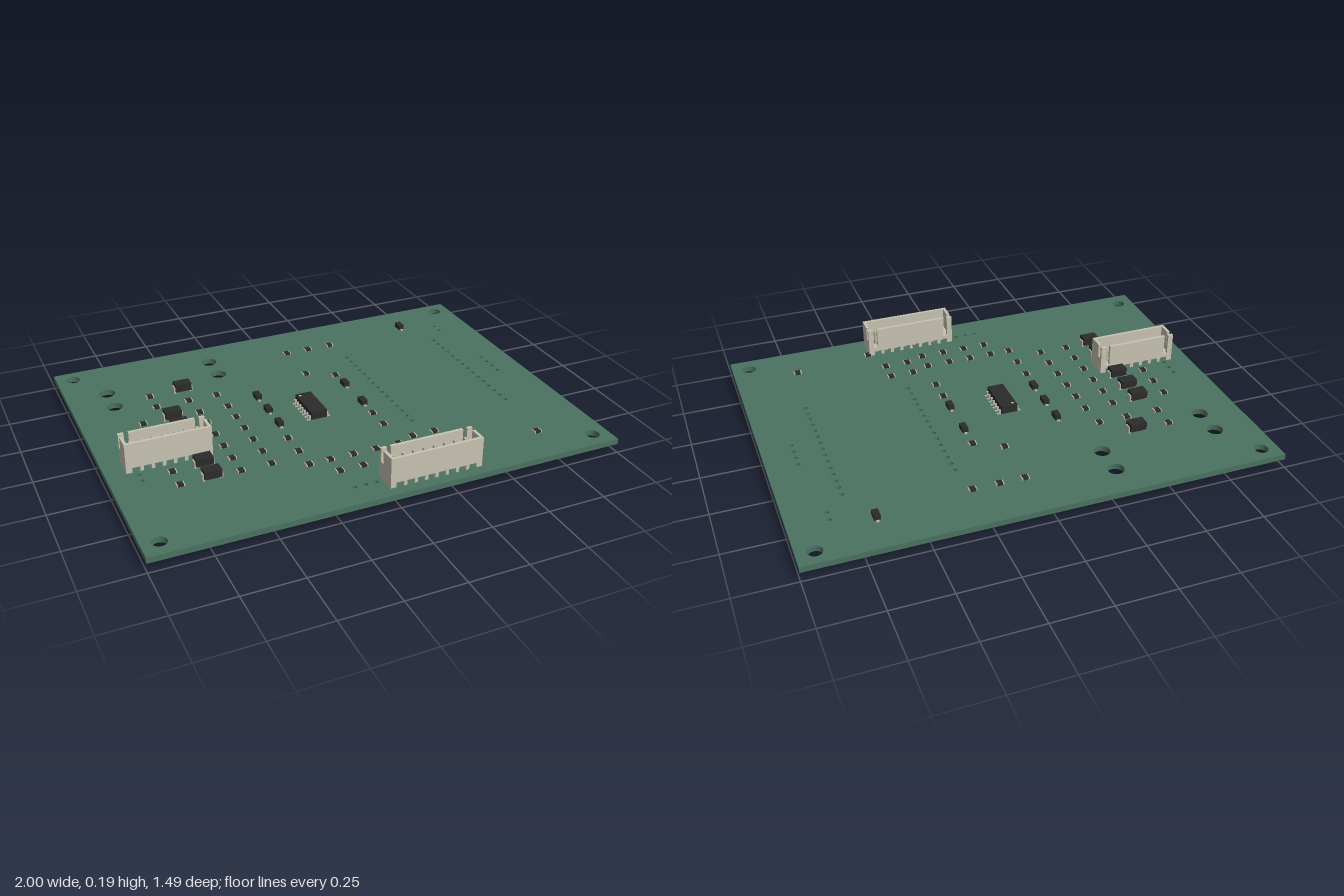
import * as THREE from 'three';

const mat = (name, color) => {
  const m = new THREE.MeshStandardMaterial({ color });
  m.name = name;
  return m;
};
const TOP = 0.062, BOTTOM = 0.037;

export function createModel() {
  const green = mat('board green', 0x4b7361);
  const beige = mat('connector beige', 0xc8c4b2);
  const black = mat('component black', 0x2b2b2b);
  const metal = mat('terminal metal', 0xbab5a8);
  const root = new THREE.Group();
  root.name = 'circuitBoard';

  const group = (name, x, z, parent = root) => {
    const g = new THREE.Group();
    g.name = name;
    g.position.set(x, 0, z);
    parent.add(g);
    return g;
  };
  // box given by its x, y and z ranges
  const box = (parent, name, m, x0, x1, y0, y1, z0, z1) => {
    const b = new THREE.Mesh(new THREE.BoxGeometry(x1 - x0, y1 - y0, z1 - z0), m);
    b.position.set((x0 + x1) / 2, (y0 + y1) / 2, (z0 + z1) / 2);
    b.name = name;
    parent.add(b);
    return b;
  };

  // board with drilled holes
  const shape = new THREE.Shape();
  shape.moveTo(-1, -0.745).lineTo(1, -0.745).lineTo(1, 0.745).lineTo(-1, 0.745).closePath();
  const hole = (x, z, r) => {
    const p = new THREE.Path();
    p.absarc(x, -z, r, 0, Math.PI * 2, true);
    shape.holes.push(p);
  };
  for (const x of [-0.928, 0.926]) for (const z of [-0.676, 0.67]) hole(x, z, 0.03);
  for (const [x, z] of [[-0.82, -0.488], [-0.82, -0.358], [-0.31, -0.598], [-0.31, -0.466]]) hole(x, z, 0.035);
  const holeRow = (x, z, dx, dz, n) => {
    for (let i = 0; i < n; i++) hole(x + dx * i, z + dz * i, 0.0095);
  };
  holeRow(0.295, -0.383, 0, 0.0464, 15);
  holeRow(0.756, -0.383, 0, 0.0464, 15);
  holeRow(0.836, -0.518, 0, 0.046, 2);
  holeRow(0.872, -0.13, 0, 0.0464, 4);
  holeRow(-0.875, -0.014, 0, 0.046, 3);
  holeRow(-0.875, 0.214, 0, 0.046, 2);
  holeRow(-0.144, 0.632, 0.046, 0, 3);
  const boardGeo = new THREE.ExtrudeGeometry(shape, { depth: TOP - BOTTOM, bevelEnabled: false, curveSegments: 10 });
  boardGeo.rotateX(-Math.PI / 2);
  const board = new THREE.Mesh(boardGeo, green);
  board.name = 'board';
  board.position.y = BOTTOM;
  root.add(board);

  // open-topped pin header; z is the pin row
  const connector = (name, x, z, n) => {
    const g = group(name, x, z);
    const pitch = 0.0455, h = (n - 1) * pitch / 2 + 0.042;
    const zb = -0.035, zf = 0.065, t = 0.013, top = 0.192, low = 0.083;
    box(g, 'floor', beige, -h, h, low, 0.1, zb, zf);
    box(g, 'frontWall', beige, -h, h, 0.1, top, zf - t, zf);
    // back wall with a slot near each end
    const s = h - 0.042;
    box(g, 'backWall', beige, -s, s, 0.1, top, zb, zb + t);
    for (const k of [-1, 1]) {
      const e = (a, b) => [Math.min(k * a, k * b), Math.max(k * a, k * b)];
      box(g, 'backCorner', beige, ...e(s + 0.018, h), 0.1, top, zb, zb + t);
      box(g, 'endWallLower', beige, ...e(h - t, h), 0.1, 0.135, zb + t, zf - t);
      box(g, 'endWall', beige, ...e(h - t, h), 0.135, top, zb + 0.033, zf - t);
      box(g, 'endFoot', beige, ...e(h - 0.025, h), TOP, low, zb, zf);
    }
    // feet between pins
    for (let i = 0; i < n - 1; i++) {
      const fx = (i + 0.5 - (n - 1) / 2) * pitch;
      box(g, 'foot', beige, fx - 0.007, fx + 0.007, TOP, low, zb, zf);
    }
    // square pins with tapered tails
    for (let i = 0; i < n; i++) {
      const px = (i - (n - 1) / 2) * pitch;
      box(g, 'pin', metal, px - 0.007, px + 0.007, 0.018, 0.165, -0.007, 0.007);
      const tip = new THREE.CylinderGeometry(0.0099, 0.005, 0.018, 4);
      tip.rotateY(Math.PI / 4);
      const tail = new THREE.Mesh(tip, metal);
      tail.name = 'pinTip';
      tail.position.set(px, 0.009, 0);
      g.add(tail);
    }
  };
  connector('leftConnector', -0.739, 0.124, 7);
  connector('frontConnector', 0.178, 0.634, 8);

  // power diodes: moulded body on metal end terminals
  const diode = (x, z) => {
    const g = group('powerDiode', x, z);
    box(g, 'body', black, -0.036, 0.036, 0.072, 0.106, -0.024, 0.024);
    for (const k of [-1, 1]) {
      const c = k * 0.035;
      box(g, 'terminal', metal, c - 0.007, c + 0.007, TOP, 0.092, -0.014, 0.014);
    }
  };
  for (const z of [-0.16, -0.058, 0.044, 0.247, 0.349]) diode(-0.621, z);
  diode(-0.508, -0.378);

  // small diodes lying along z
  for (const [x, z] of [[-0.23, -0.178], [-0.23, -0.05], [-0.23, 0.078], [0.17, -0.132], [0.17, 0.05], [0.668, -0.567]]) {
    const g = group('smallDiode', x, z);
    box(g, 'body', black, -0.013, 0.013, 0.066, 0.088, -0.022, 0.022);
    box(g, 'leads', metal, -0.006, 0.006, TOP, 0.068, -0.03, 0.03);
  }

  // fourteen-lead chip
  const chip = group('chip', -0.056, 0.011);
  box(chip, 'body', black, -0.036, 0.036, 0.067, 0.101, -0.089, 0.089);
  for (const k of [-1, 1]) for (let i = 0; i < 7; i++) {
    const z = (i - 3) * 0.0255;
    box(chip, 'leadShoulder', metal, k * 0.039 - 0.006, k * 0.039 + 0.006, 0.064, 0.084, z - 0.004, z + 0.004);
    box(chip, 'leadFoot', metal, k * 0.046 - 0.007, k * 0.046 + 0.007, TOP, 0.066, z - 0.004, z + 0.004);
  }
  const dot = new THREE.Mesh(new THREE.CylinderGeometry(0.006, 0.006, 0.002, 12), metal);
  dot.name = 'chipMark';
  dot.position.set(-0.02, 0.101, -0.07);
  chip.add(dot);

  // chip resistors: [z, x positions]
  const rows = [
    [-0.53, 0.053, 0.16, 0.272], [-0.378, -0.658], [-0.303, 0.053], [-0.276, -0.658, -0.513, -0.385],
    [-0.238, 0.17], [-0.158, -0.75, -0.502, -0.374], [-0.057, -0.75, -0.502, -0.374],
    [0.045, -0.75, -0.502, -0.374], [0.147, -0.502, -0.374, 0.17], [0.195, -0.24],
    [0.249, -0.75, -0.502, -0.374, 0.17], [0.307, -0.24], [0.35, -0.75, -0.502, -0.374],
    [0.386, 0.235, 0.337], [0.416, -0.24, -0.149, -0.048, 0.053, 0.155], [0.478, 0.235, 0.337],
    [0.508, -0.149, -0.048, 0.053, 0.155], [0.56, 0.726], [0.606, 0.386],
  ];
  for (const [z, ...xs] of rows) for (const x of xs) {
    const g = group('resistor', x, z);
    box(g, 'body', black, -0.012, 0.012, TOP, 0.072, -0.0125, 0.0125);
    for (const k of [-1, 1]) box(g, 'endCap', metal, k * 0.014 - 0.003, k * 0.014 + 0.003, TOP, 0.071, -0.0125, 0.0125);
  }
  return root;
}
